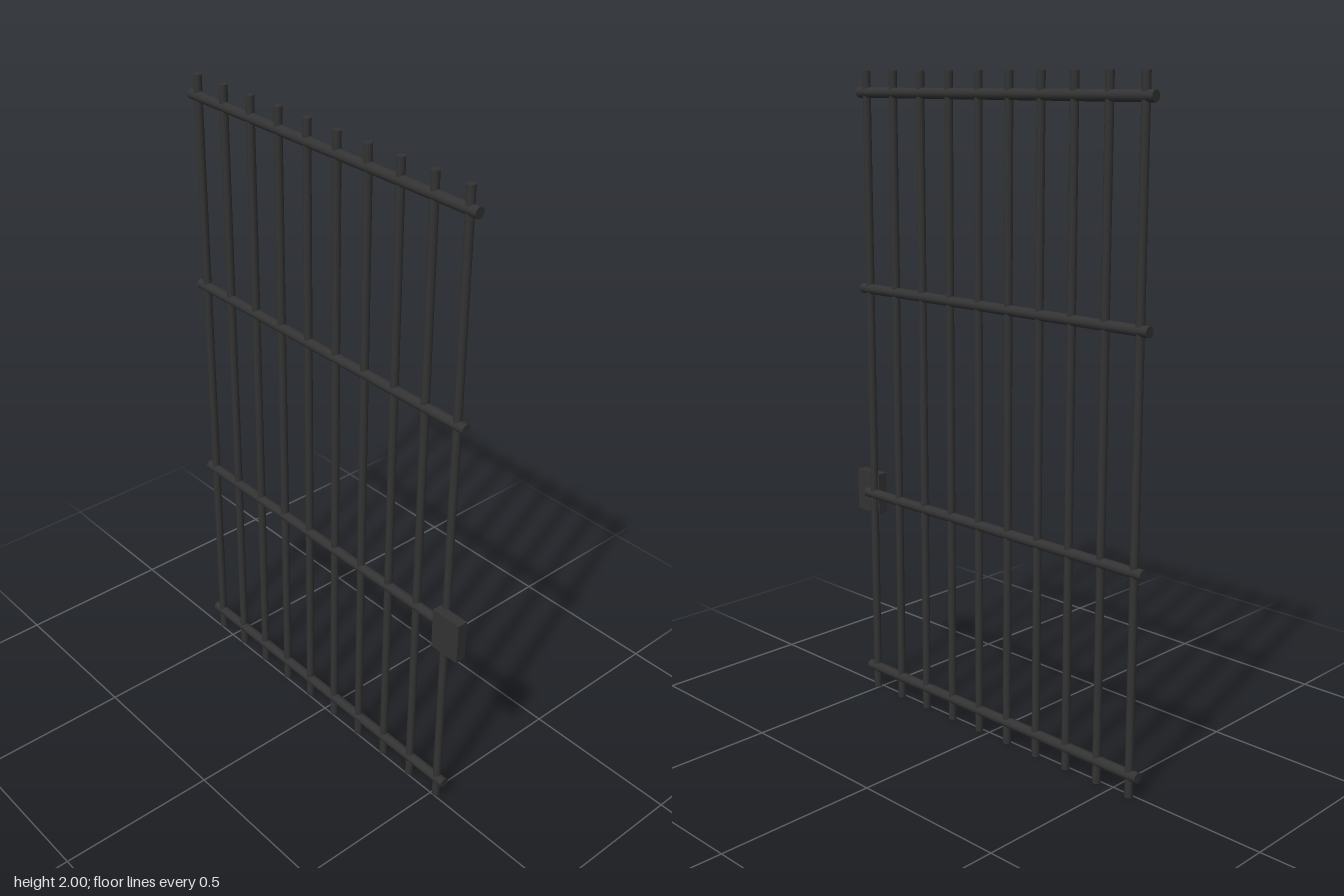
import * as THREE from 'three';

export function createModel() {
  const group = new THREE.Group();
  const iron = new THREE.MeshStandardMaterial({ color: 0x333333 });
  const barZ = -0.011;

  const add = (name, geometry, x, y, z) => {
    const mesh = new THREE.Mesh(geometry, iron);
    mesh.name = name;
    mesh.position.set(x, y, z);
    group.add(mesh);
  };

  // Ten upright bars, evenly spaced
  const barGeometry = new THREE.CylinderGeometry(0.0125, 0.0125, 2, 12);
  for (let i = 0; i < 10; i++) {
    add('verticalBar' + (i + 1), barGeometry, -0.565 + i * 0.1197, 1, barZ);
  }

  // Four thicker cross rails
  const railGeometry = new THREE.CylinderGeometry(0.016, 0.016, 1.142, 12).rotateZ(Math.PI / 2);
  [0.068, 0.669, 1.337, 1.936].forEach((y, i) => {
    add('crossRail' + (i + 1), railGeometry, -0.026, y, barZ);
  });

  // Lock box on the front of the free edge
  add('lockBox', new THREE.BoxGeometry(0.101, 0.132, 0.033), 0.546, 0.669, 0.0095);

  return group;
}
